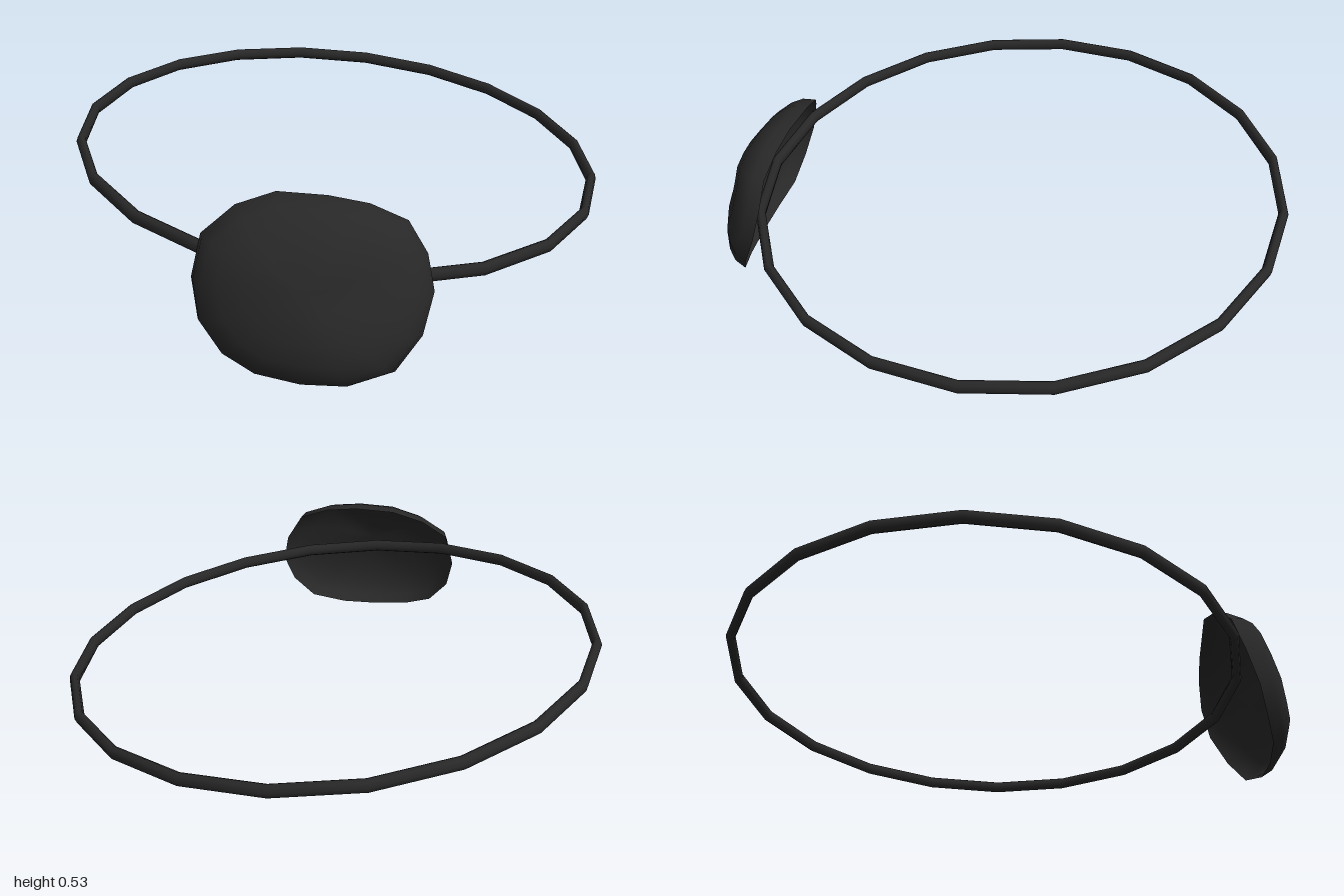
import * as THREE from 'three';

// Rim of the patch, clockwise as seen from the front
const RIM = [
  [-0.035, 0.28, 0.91], [-0.02, 0.41, 0.87], [0.06, 0.49, 0.80], [0.17, 0.532, 0.745],
  [0.32, 0.532, 0.705], [0.44, 0.515, 0.67], [0.55, 0.47, 0.64], [0.61, 0.37, 0.63],
  [0.642, 0.26, 0.65], [0.632, 0.14, 0.71], [0.575, 0.04, 0.78], [0.46, 0.002, 0.855],
  [0.33, 0.002, 0.905], [0.19, 0.022, 0.94], [0.08, 0.067, 0.945], [0, 0.16, 0.94],
].map((p) => new THREE.Vector3(...p));
const CENTER = new THREE.Vector3(0.3, 0.27, 0.79);
const NORMAL = new THREE.Vector3(0.33, 0.3, 0.9).normalize();

// Dome made of rim loops that shrink towards the centre while rising along the normal
function dome(depth, inward) {
  const scales = [1, 0.96, 0.87, 0.72, 0.5, 0.25];
  const n = RIM.length;
  const pos = [];
  const index = [];
  const tri = (a, b, c) => (inward ? index.push(a, b, c) : index.push(a, c, b));
  for (const s of scales) {
    for (const p of RIM) {
      const v = CENTER.clone().lerp(p, s).addScaledVector(NORMAL, depth * Math.sqrt(1 - s * s));
      pos.push(v.x, v.y, v.z);
    }
  }
  const apex = CENTER.clone().addScaledVector(NORMAL, depth);
  pos.push(apex.x, apex.y, apex.z);
  for (let r = 0; r < scales.length; r++) {
    for (let i = 0; i < n; i++) {
      const a = r * n + i;
      const b = r * n + ((i + 1) % n);
      if (r === scales.length - 1) {
        tri(a, b, scales.length * n);
      } else {
        tri(a, b, b + n);
        tri(a, b + n, a + n);
      }
    }
  }
  const geo = new THREE.BufferGeometry();
  geo.setAttribute('position', new THREE.Float32BufferAttribute(pos, 3));
  geo.setIndex(index);
  geo.computeVertexNormals();
  return geo;
}

export function createModel() {
  const model = new THREE.Group();
  model.name = 'eyePatch';
  const black = new THREE.MeshStandardMaterial({ color: 0x282828 });
  black.name = 'black';

  const add = (name, geo) => {
    const mesh = new THREE.Mesh(geo, black);
    mesh.name = name;
    model.add(mesh);
    return mesh;
  };

  // Strap: a 20-sided loop with a slightly tall section, tilted down to the left
  const band = new THREE.TorusGeometry(0.918, 0.017, 8, 20);
  band.scale(1, 1.01, 1.4).rotateX(Math.PI / 2);
  const strap = add('strap', band);
  strap.rotation.z = -Math.atan(0.106);
  strap.position.set(0, 0.358, -0.056);

  // Patch: thin shell with a convex front and hollow back meeting at the rim
  add('patchFront', dome(0.162, false));
  add('patchLining', dome(0.15, true));

  return model;
}
